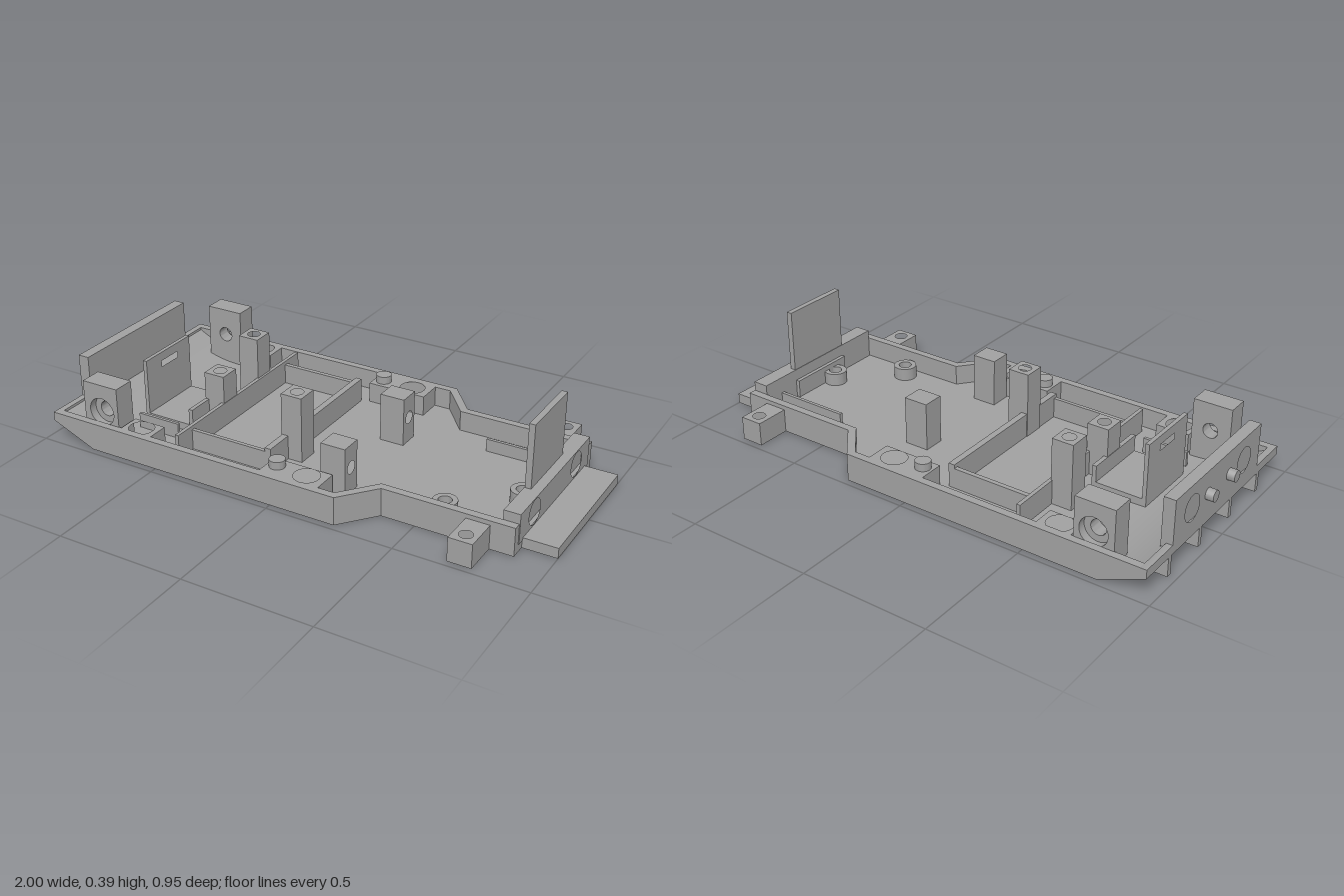
import * as THREE from 'three';
import { toCreasedNormals } from 'three/addons/utils/BufferGeometryUtils.js';

const grey = new THREE.MeshStandardMaterial({ color: 0xa0a0a0 });
grey.name = 'grey plastic';

export function createModel() {
  const model = new THREE.Group();
  model.name = 'chassisTray';

  const add = (name, geo) => {
    const mesh = new THREE.Mesh(toCreasedNormals(geo, 0.5), grey);
    mesh.name = name;
    model.add(mesh);
    return mesh;
  };
  const box = (name, x0, x1, y0, y1, z0, z1) =>
    add(name, new THREE.BoxGeometry(x1 - x0, y1 - y0, z1 - z0)
      .translate((x0 + x1) / 2, (y0 + y1) / 2, (z0 + z1) / 2));

  // Outline and holes; a hole is [a, b, radius] or a list of points
  const outline = (pts, holes = []) => {
    const shape = new THREE.Shape(pts.map(p => new THREE.Vector2(p[0], p[1])));
    for (const h of holes) {
      if (Array.isArray(h[0])) shape.holes.push(new THREE.Path(h.map(p => new THREE.Vector2(p[0], p[1]))));
      else shape.holes.push(new THREE.Path().absarc(h[0], h[1], h[2], 0, Math.PI * 2, true));
    }
    return shape;
  };
  const extrude = (pts, holes, depth) =>
    new THREE.ExtrudeGeometry(outline(pts, holes), { depth, bevelEnabled: false, curveSegments: 16 });
  const flip = (list, axis) => list.map(p => Array.isArray(p[0]) ? flip(p, axis)
    : p.map((v, i) => (i === axis ? -v : v)));
  const rect = (a0, a1, b0, b1) => [[a0, b0], [a1, b0], [a1, b1], [a0, b1]];

  // Plan shapes (x, z) rise along y; side shapes (x, y) run along z; end shapes (z, y) run along x
  const plan = (name, pts, holes, y0, y1) =>
    add(name, extrude(flip(pts, 1), flip(holes, 1), y1 - y0).rotateX(-Math.PI / 2).translate(0, y0, 0));
  const side = (name, pts, holes, z0, z1) =>
    add(name, extrude(pts, holes, z1 - z0).translate(0, 0, z0));
  const end = (name, pts, holes, x0, x1) =>
    add(name, extrude(flip(pts, 0), flip(holes, 0), x1 - x0).rotateY(Math.PI / 2).translate(x0, 0, 0));

  const FLOOR = 0.03, RIM = 0.11, JOIN = -0.69;

  // Floor with the waisted outline and a slot
  plan('floor',
    [[JOIN, -0.475], [0.26, -0.475], [0.37, -0.34], [0.87, -0.34], [0.87, 0.34], [0.37, 0.34], [0.26, 0.475], [JOIN, 0.475]],
    [rect(0.58, 0.735, -0.29, -0.235)], 0, FLOOR);

  // Rear floor: sloped underneath, curved ramp on top
  const ramp = new THREE.QuadraticBezierCurve(
    new THREE.Vector2(JOIN, FLOOR), new THREE.Vector2(-0.82, FLOOR), new THREE.Vector2(-0.945, 0.1));
  side('rearRamp', [[-0.97, 0.075], [-0.79, 0], [JOIN, 0],
    ...ramp.getPoints(12).map(p => [p.x, p.y]), [-0.945, RIM], [-0.97, RIM]], [], -0.475, 0.475);

  for (const s of [-1, 1]) {
    const span = (a, b) => (s > 0 ? [a, b] : [-b, -a]);

    // Perimeter wall
    side('rearSideWall', [[-0.97, 0.075], [-0.79, 0], [JOIN, 0], [JOIN, RIM], [-0.97, RIM]], [], ...span(0.445, 0.475));
    plan('sideWall', [[JOIN, 0.475], [0.26, 0.475], [0.37, 0.34], [0.87, 0.34], [0.87, 0.31],
      [0.355, 0.31], [0.245, 0.445], [JOIN, 0.445]].map(p => [p[0], p[1] * s]), [], FLOOR, RIM);

    // Axle block with a counterbored hole
    const block = rect(-0.835, -0.68, FLOOR, 0.265);
    side('axleBlockInner', block, [[-0.755, 0.155, 0.03]], ...span(0.36, 0.415));
    side('axleBlockOuter', block, [[-0.755, 0.155, 0.055]], ...span(0.415, 0.447));

    // Screw ledges flush with the rim
    plan('rearLedge', rect(-0.67, -0.535, ...span(0.36, 0.46)), [[-0.605, 0.408 * s, 0.049]], FLOOR, RIM);
    plan('middleLedge', rect(-0.06, 0.18, ...span(0.345, 0.46)), [[0.105, 0.396 * s, 0.049]], FLOOR, RIM);
    add('locatingPin', new THREE.CylinderGeometry(0.03, 0.03, 0.06, 32).translate(-0.02, RIM, 0.39 * s));

    // Outrigger tab with a vertical hole
    plan('mountingTab', rect(0.69, 0.78, ...span(0.335, 0.475)), [[0.735, 0.43 * s, 0.025]], 0, 0.093);

    // Skid fins under the rear slope
    for (const z of [0.11, 0.32])
      side('skidFin', [[-0.97, 0], [-0.79, 0], [-0.97, 0.075]], [], z * s - 0.01, z * s + 0.01);

    // Tail pegs
    add('tailPeg', new THREE.CylinderGeometry(0.022, 0.022, 0.04, 24)
      .rotateZ(Math.PI / 2).translate(-0.98, 0.19, 0.077 * s));
  }

  // Rear plate with two blind sockets
  box('rearPlate', -0.945, -0.925, 0.075, 0.28, -0.307, 0.307);
  end('rearPlateFace', rect(-0.307, 0.307, 0.085, 0.28), [[-0.187, 0.19, 0.05], [0.187, 0.19, 0.05]], -0.97, -0.945);

  // Front wall with two blind sockets, upright plate and bumper
  box('frontWall', 0.81, 0.845, FLOOR, 0.145, -0.307, 0.307);
  end('frontWallFace', rect(-0.307, 0.307, FLOOR, 0.145), [[-0.185, 0.092, 0.048], [0.185, 0.092, 0.048]], 0.845, 0.872);
  box('uprightPlate', 0.812, 0.835, 0.1, 0.39, -0.14, 0.14);
  box('bumper', 0.865, 1, 0, 0.04, -0.277, 0.277);

  // Square posts with a blind hole in the top: x, z, height
  for (const [x, z, h] of [[-0.487, -0.175, 0.29], [-0.48, 0.07, 0.235], [-0.075, 0.165, 0.29]]) {
    const r = 0.043;
    box('postBase', x - r, x + r, FLOOR, h - 0.06, z - r, z + r);
    plan('postTop', rect(x - r, x + r, z - r, z + r), [[x, z, 0.025]], h - 0.06, h);
  }

  // Blocks with a blind hole facing forward along x
  for (const z of [-0.135, 0.297]) {
    box('blockBack', 0.128, 0.18, FLOOR, 0.22, z - 0.043, z + 0.043);
    end('blockFront', rect(z - 0.043, z + 0.043, FLOOR, 0.22), [[z, 0.13, 0.025]], 0.18, 0.226);
  }

  // Round bosses
  for (const [x, z] of [[0.772, 0.05], [0.57, 0.25]]) {
    add('boss', new THREE.LatheGeometry([[0.025, FLOOR], [0.045, FLOOR], [0.045, 0.08], [0.025, 0.08], [0.025, FLOOR]]
      .map(p => new THREE.Vector2(...p)), 32).translate(x, 0, z));
  }

  // Battery bay walls
  box('crossWall', -0.45, -0.435, FLOOR, 0.125, -0.415, 0.41);
  box('bayFrontWall', -0.115, -0.09, FLOOR, 0.125, -0.333, 0.325);
  box('bayRightWall', -0.435, -0.115, FLOOR, 0.11, -0.333, -0.315);
  box('bayLeftWall', -0.435, -0.115, FLOOR, 0.11, 0.31, 0.325);

  // Slotted switch plate with its low shelf
  end('switchPlate', rect(-0.05, 0.222, FLOOR, 0.28), [rect(0.03, 0.13, 0.22, 0.245)], -0.728, -0.712);
  box('switchShelf', -0.712, -0.525, FLOOR, 0.06, -0.05, 0.222);
  box('shelfLip', -0.525, -0.508, FLOOR, 0.125, -0.05, 0.222);
  box('shelfRib', -0.71, -0.53, FLOOR, 0.09, 0.275, 0.287);

  // Low rib beside the floor slot
  box('slotRib', 0.51, 0.81, FLOOR, 0.08, -0.225, -0.212);
  box('frontRib', 0.795, 0.812, FLOOR, 0.1, -0.14, 0.135);

  return model;
}
